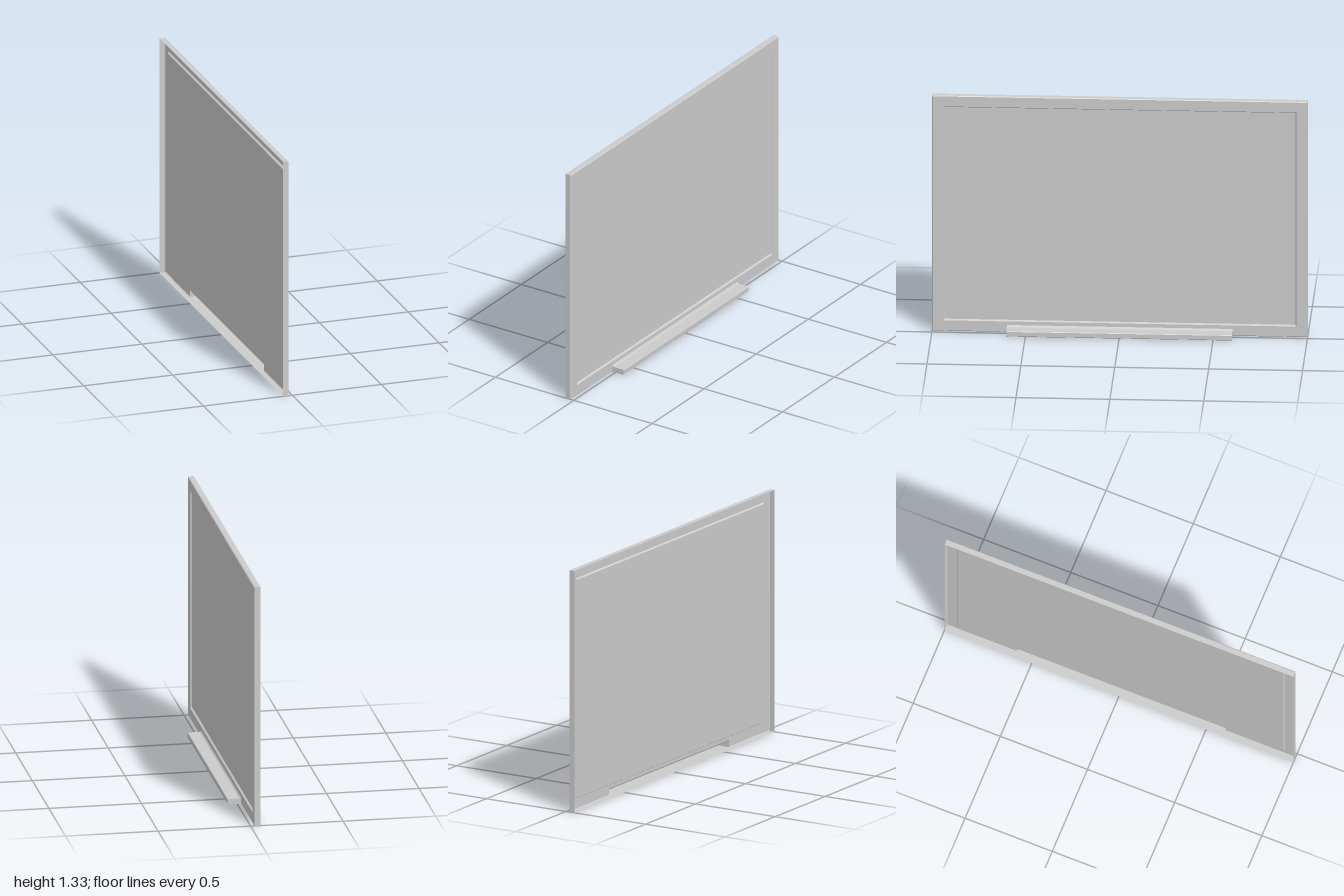
import * as THREE from 'three';

const material = new THREE.MeshStandardMaterial({ color: 0xcccccc, flatShading: true, side: THREE.DoubleSide });
const H = 1.33, BACK = -0.053, FACE = -0.02, BEVEL = 0.004;
const TRAY = 0.6, TRAY_TOP = 0.04;

// Skin between rows of [x, y, z] points
function loft(rows) {
  const pos = [];
  for (let i = 0; i + 1 < rows.length; i++) {
    for (let j = 0; j + 1 < rows[i].length; j++) {
      const a = rows[i][j], b = rows[i][j + 1], c = rows[i + 1][j + 1], d = rows[i + 1][j];
      pos.push(...a, ...b, ...c, ...a, ...c, ...d);
    }
  }
  const g = new THREE.BufferGeometry();
  g.setAttribute('position', new THREE.Float32BufferAttribute(pos, 3));
  g.computeVertexNormals();
  return g;
}

// Closed rectangle set in from the board's outline
function ring(inset, z) {
  const w = 1 - inset, lo = inset, hi = H - inset;
  return [[-w, lo, z], [w, lo, z], [w, hi, z], [-w, hi, z], [-w, lo, z]];
}

// Outline that leaves the bottom open where the tray joins
function openRing(inset, z) {
  const r = ring(inset, z);
  return [[TRAY, inset, z], r[1], r[2], r[3], r[0], [-TRAY, inset, z]];
}

const flat = (points) => points.map(([x, y]) => new THREE.Vector2(x, y));

export function createModel() {
  const model = new THREE.Group();
  model.name = 'wallBoard';
  const board = new THREE.Group(); // built facing +z, then turned to face +x
  board.name = 'board';
  board.rotation.y = Math.PI / 2;
  model.add(board);
  const add = (name, geometry) => {
    const mesh = new THREE.Mesh(geometry, material);
    mesh.name = name;
    board.add(mesh);
    return mesh;
  };

  // Outer frame walls with a small bevel, open at the back
  add('frameSides', loft([openRing(0, BACK), openRing(0, FACE - BEVEL), openRing(BEVEL, FACE)]));

  // Frame front with the panel opening and the tray notch
  const front = new THREE.Shape(flat([
    ...openRing(BEVEL, 0), [-TRAY, TRAY_TOP], [TRAY, TRAY_TOP],
  ]));
  front.holes.push(new THREE.Path(flat(ring(0.06, 0).slice(0, 4).reverse())));
  add('frameFront', new THREE.ShapeGeometry(front).translate(0, 0, FACE));

  // Sloped reveal and recessed writing panel
  const depth = FACE - 0.01;
  add('frameReveal', loft([ring(0.06, FACE), ring(0.066, depth)]));
  add('panel', new THREE.PlaneGeometry(2 - 0.132, H - 0.132).translate(0, H / 2, depth));

  // Hollow tray: [depth, height] section swept along the bottom
  const section = [
    [FACE, TRAY_TOP], [-0.017, 0.034], [-0.01, 0.03], [0.05, 0.03],
    [0.053, 0.027], [0.053, 0.003], [0.05, 0], [BACK, 0],
  ];
  add('tray', loft([-TRAY, TRAY].map((x) => section.map(([z, y]) => [x, y, z]))));
  const cap = new THREE.Shape(flat([...section.slice(0, -1), [FACE - BEVEL, 0], [FACE, BEVEL]]));
  for (const s of [-1, 1]) {
    const g = new THREE.ShapeGeometry(cap).rotateY(-Math.PI / 2);
    if (s > 0) g.index.array.reverse();
    g.computeVertexNormals();
    add('trayEnd', g.translate(s * TRAY, 0, 0));
  }
  return model;
}
